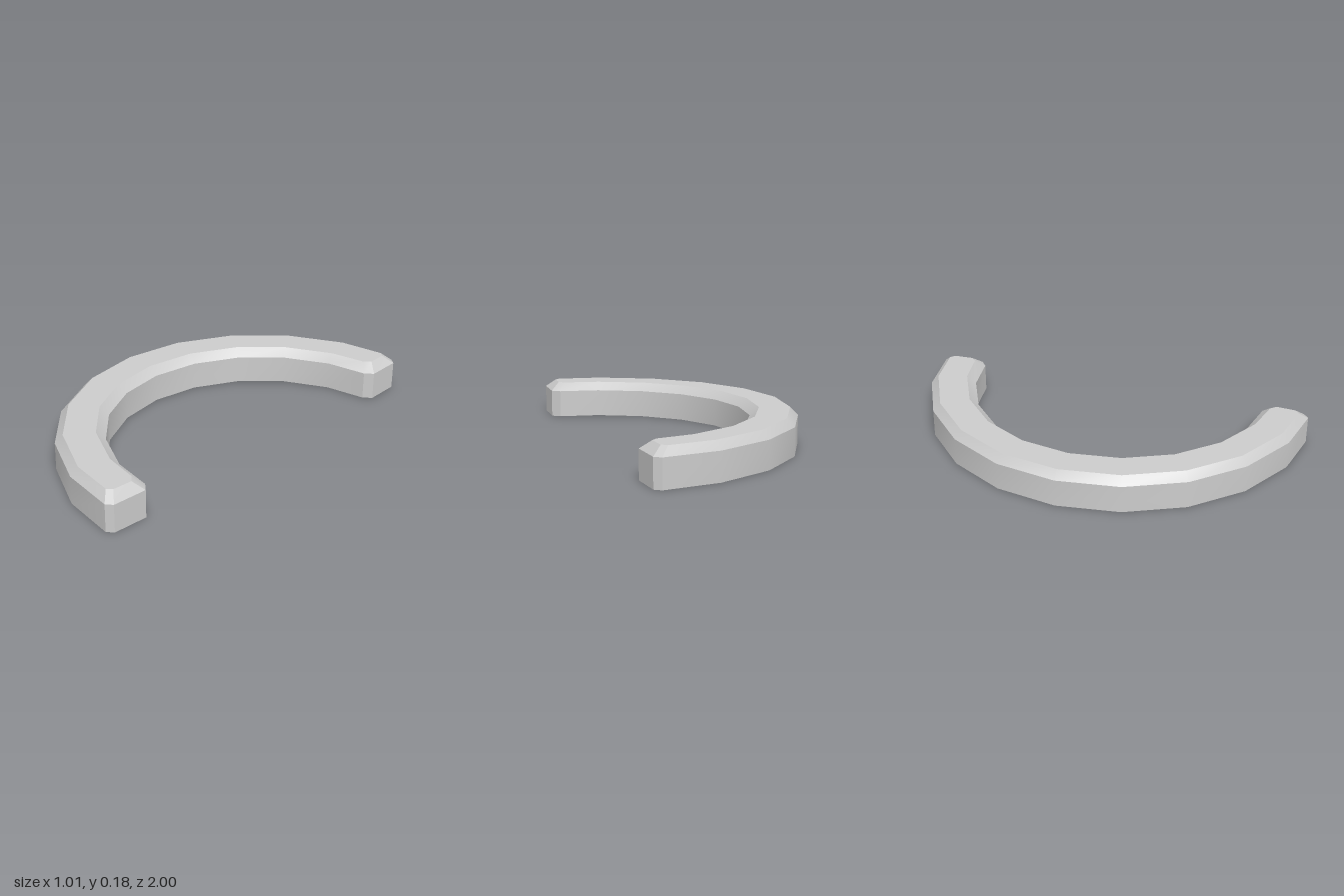
import * as THREE from 'three';
import { toCreasedNormals } from 'three/addons/utils/BufferGeometryUtils.js';

const CENTRE_X = 0.5;
const STEP = Math.PI / 10; // twenty-sided ring

// Closed outline of the half ring: one half from arcs and a clipped end, then mirrored.
function outline(outerR, innerR, end) {
  const arc = (r, k) => [CENTRE_X - r * Math.cos(k * STEP), r * Math.sin(k * STEP)];
  const half = [];
  for (let k = 0; k <= 4; k++) half.push(arc(outerR, k));
  half.push(...end);
  for (let k = 4; k >= 0; k--) half.push(arc(innerR, k));
  const mirrored = half.slice(1, -1).reverse().map(([x, z]) => [x, -z]);
  return [...half, ...mirrored];
}

// Stacks outlines into a solid with flat caps.
function loft(layers) {
  const n = layers[0].points.length;
  const positions = [];
  const index = [];
  for (const { y, points } of layers) {
    for (const [x, z] of points) positions.push(x, y, z);
  }
  for (let l = 0; l < layers.length - 1; l++) {
    for (let i = 0; i < n; i++) {
      const a = l * n + i;
      const b = l * n + ((i + 1) % n);
      index.push(a, b, b + n, a, b + n, a + n);
    }
  }
  const cap = (layer) => THREE.ShapeUtils.triangulateShape(
    layers[layer].points.map(([x, z]) => new THREE.Vector2(x, -z)), []);
  const top = layers.length - 1;
  for (const [a, b, c] of cap(top)) index.push(top * n + a, top * n + b, top * n + c);
  for (const [a, b, c] of cap(0)) index.push(a, c, b);

  const geometry = new THREE.BufferGeometry();
  geometry.setAttribute('position', new THREE.Float32BufferAttribute(positions, 3));
  geometry.setIndex(index);
  return toCreasedNormals(geometry, 0.42);
}

export function createModel() {
  const group = new THREE.Group();
  group.name = 'halfRing';

  // Upright walls with clipped end corners, and a smaller top for the bevel
  const wall = outline(1.005, 0.77, [[0.465, 1.0], [0.496, 0.975], [0.504, 0.8], [0.465, 0.767]]);
  const top = outline(0.967, 0.815, [[0.425, 0.956], [0.45, 0.935], [0.456, 0.838], [0.428, 0.81]]);

  const ring = new THREE.Mesh(
    loft([{ y: 0, points: wall }, { y: 0.138, points: wall }, { y: 0.178, points: top }]),
    new THREE.MeshStandardMaterial({ color: 0xcccccc })
  );
  ring.name = 'bevelledArc';
  group.add(ring);
  return group;
}
